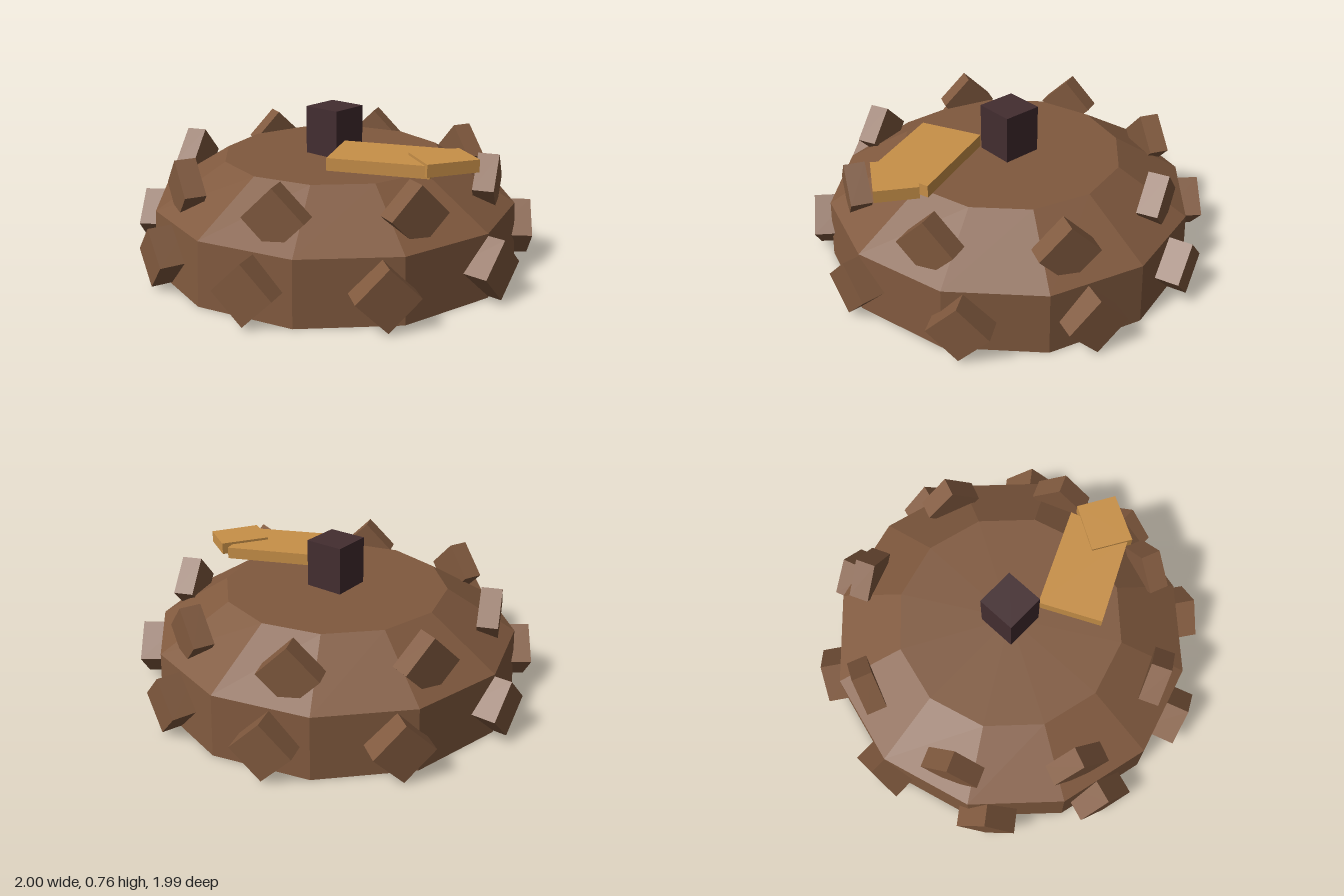
import * as THREE from 'three';

const brown = new THREE.MeshStandardMaterial({ color: 0x80593e, flatShading: true });
brown.name = 'brown';
const gold = new THREE.MeshStandardMaterial({ color: 0xc89048, flatShading: true });
gold.name = 'gold';
const darkPlum = new THREE.MeshStandardMaterial({ color: 0x432d30, flatShading: true });
darkPlum.name = 'darkPlum';

function add(parent, name, geometry, material, x = 0, y = 0, z = 0) {
  const mesh = new THREE.Mesh(geometry, material);
  mesh.name = name;
  mesh.position.set(x, y, z);
  parent.add(mesh);
  return mesh;
}

// Ring of square studs, each turned onto its corner and facing outwards
function studRing(name, count, offset, innerR, outerR, y) {
  const ring = new THREE.Group();
  ring.name = name;
  const geometry = new THREE.BoxGeometry(outerR - innerR, 0.205, 0.205);
  geometry.rotateX(Math.PI / 4);
  geometry.translate((innerR + outerR) / 2, y, 0);
  for (let i = 0; i < count; i++) {
    add(ring, 'stud', geometry, brown).rotation.y = offset + (i / count) * Math.PI * 2;
  }
  return ring;
}

// Flat plate from corners given as [x, z], running counter-clockwise seen from above
function plate(corners, thickness) {
  const shape = new THREE.Shape(corners.map(([x, z]) => new THREE.Vector2(x, -z)));
  const geometry = new THREE.ExtrudeGeometry(shape, { depth: thickness, bevelEnabled: false });
  return geometry.rotateX(-Math.PI / 2);
}

export function createModel() {
  const model = new THREE.Group();
  model.name = 'studdedDisc';

  // Twelve-sided body: near-vertical rim with a sloped, flat-topped cap
  add(model, 'rim', new THREE.CylinderGeometry(0.914, 0.93, 0.31, 12), brown, 0, 0.155, 0);
  add(model, 'cap', new THREE.CylinderGeometry(0.565, 0.914, 0.215, 12), brown, 0, 0.4175, 0);

  // Studs on the rim and on the slope
  model.add(studRing('rimStuds', 10, 0, 0.8, 1, 0.155));
  model.add(studRing('slopeStuds', 8, Math.PI / 8, 0.73, 0.832, 0.44));

  // Central post
  add(model, 'post', new THREE.BoxGeometry(0.2, 0.265, 0.2), darkPlum, 0, 0.6325, 0);

  // Two overlapping gold plates
  add(model, 'largePlate',
    plate([[0.128, 0.07], [0.267, 0.364], [0.7, 0.165], [0.61, -0.144]], 0.06), gold, 0, 0.56, 0);
  add(model, 'smallPlate',
    plate([[0.652, -0.141], [0.519, 0.077], [0.7, 0.187], [0.829, -0.037]], 0.06), gold, 0, 0.572, 0);

  return model;
}
